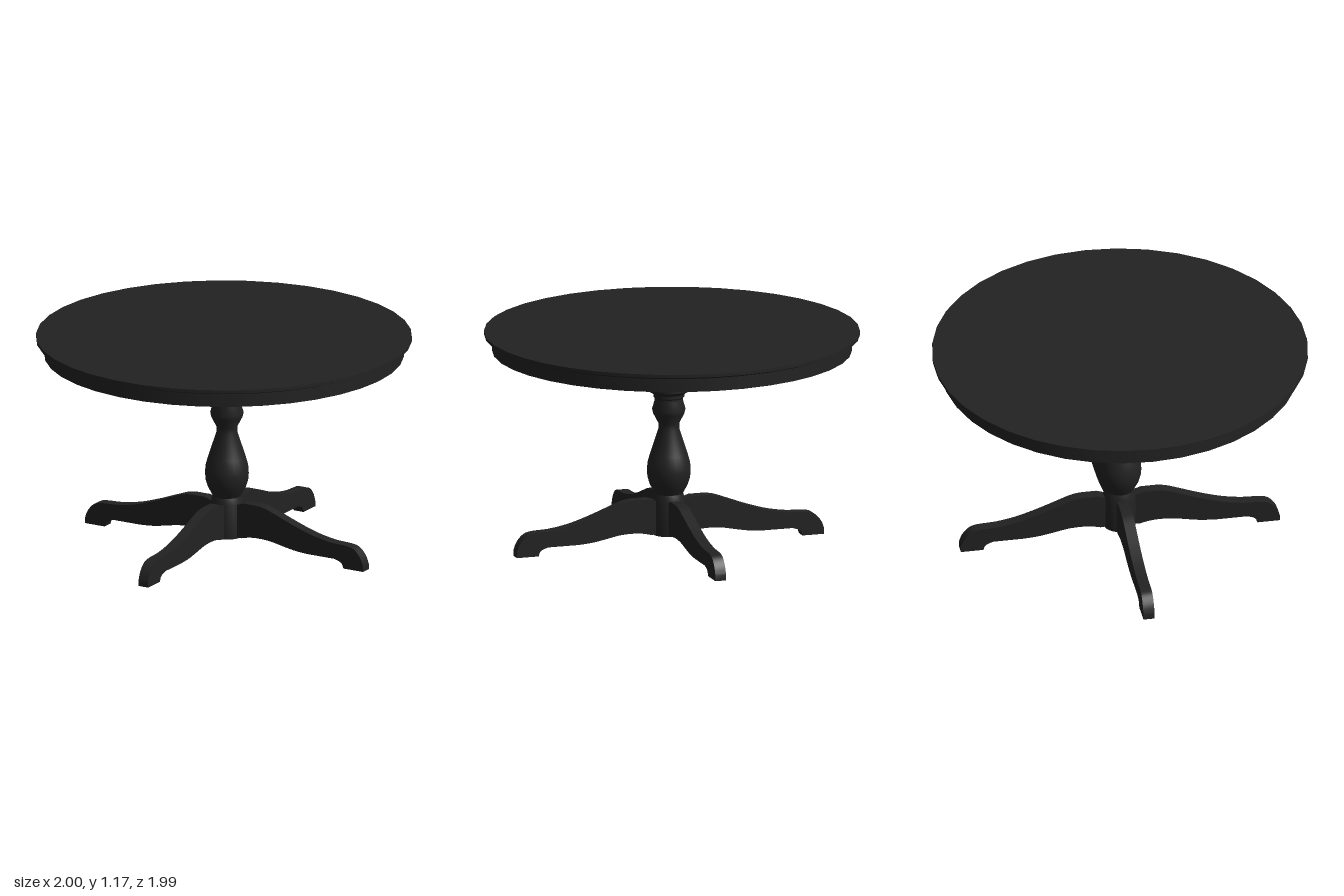
import * as THREE from 'three';
import { toCreasedNormals } from 'three/addons/utils/BufferGeometryUtils.js';

const points = (list) => list.map(([x, y]) => new THREE.Vector2(x, y));

export function createModel() {
  const paint = new THREE.MeshStandardMaterial({ color: 0x222222 });
  paint.name = 'black paint';
  const model = new THREE.Group();
  model.name = 'pedestalTable';

  const add = (parent, name, geometry) => {
    const mesh = new THREE.Mesh(geometry, paint);
    mesh.name = name;
    parent.add(mesh);
    return mesh;
  };
  // Turned part from a bottom-up profile, with a vertex on the x axis
  const turned = (profile, sides, crease) =>
    toCreasedNormals(new THREE.LatheGeometry(points(profile), sides, Math.PI / 2), crease);

  // Round top with an undercut lip, and the apron below it
  add(model, 'tableTop', turned(
    [[0, 1.13], [0.95, 1.132], [0.97, 1.138], [1, 1.15], [1, 1.168], [0, 1.168]], 38, 0.35));
  add(model, 'apron', turned([[0, 1.063], [0.957, 1.063], [0.957, 1.135]], 38, 0.5));

  // The pedestal sits slightly off the centre of the top
  const pedestal = new THREE.Group();
  pedestal.name = 'pedestal';
  pedestal.position.x = 0.018;
  model.add(pedestal);

  const plate = add(pedestal, 'mountingPlate', new THREE.BoxGeometry(0.746, 0.08, 0.752));
  plate.position.y = 1.025;

  // Turned column
  add(pedestal, 'column', turned([
    [0, 0.062], [0.087, 0.062], [0.087, 0.25], [0.076, 0.285], [0.086, 0.305],
    [0.102, 0.335], [0.114, 0.375], [0.117, 0.41], [0.114, 0.45], [0.1, 0.5],
    [0.056, 0.635], [0.056, 0.668], [0.083, 0.72], [0.089, 0.745], [0.076, 0.79],
    [0.076, 0.805], [0.083, 0.812], [0.083, 0.828], [0.117, 0.85], [0.117, 0.99], [0, 0.99],
  ], 28, 0.6));

  // Four curved legs, cut from one side profile
  const outline = new THREE.Shape();
  outline.moveTo(0.03, 0.075);
  outline.lineTo(0.107, 0.068);
  outline.splineThru(points([[0.15, 0.078], [0.2, 0.083], [0.28, 0.08], [0.365, 0.064],
    [0.44, 0.051], [0.52, 0.045]]));
  outline.lineTo(0.685, 0.045);
  outline.splineThru(points([[0.715, 0.035], [0.732, 0.022], [0.74, 0]]));
  outline.lineTo(0.862, 0);
  outline.lineTo(0.862, 0.03);
  outline.splineThru(points([[0.845, 0.073], [0.81, 0.112], [0.765, 0.127], [0.66, 0.133],
    [0.55, 0.153], [0.44, 0.187], [0.335, 0.226], [0.255, 0.255], [0.2, 0.263]]));
  outline.lineTo(0.12, 0.263);
  outline.lineTo(0.08, 0.25);
  outline.lineTo(0.03, 0.25);
  const legGeometry = toCreasedNormals(
    new THREE.ExtrudeGeometry(outline, { depth: 0.06, bevelEnabled: false, curveSegments: 3 })
      .translate(0, 0, -0.03), 0.5);
  for (let i = 0; i < 4; i++) {
    add(pedestal, 'leg' + (i + 1), legGeometry).rotation.y = i * Math.PI / 2;
  }

  return model;
}
